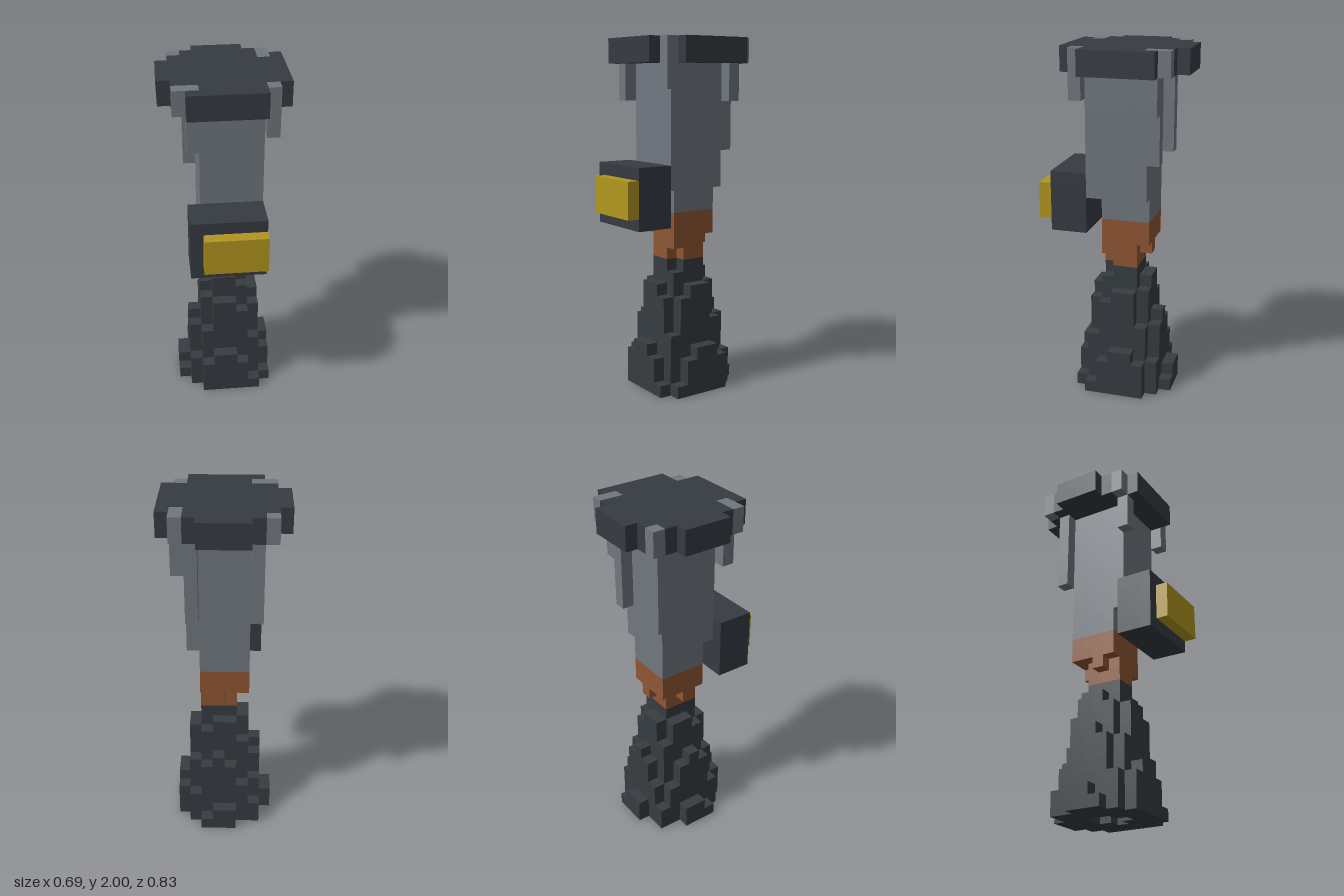
import * as THREE from 'three';
import { mergeGeometries } from 'three/addons/utils/BufferGeometryUtils.js';

const U = 2 / 29; // edge of one cube

function makeMaterial(name, color) {
  const m = new THREE.MeshStandardMaterial({ color });
  m.name = name;
  return m;
}

// Six cube faces as planes, each with the neighbour that would hide it
const FACES = [
  [[1, 0, 0], 0, Math.PI / 2], [[-1, 0, 0], 0, -Math.PI / 2],
  [[0, 1, 0], -Math.PI / 2, 0], [[0, -1, 0], Math.PI / 2, 0],
  [[0, 0, 1], 0, 0], [[0, 0, -1], 0, Math.PI],
].map(([dir, rx, ry]) => ({
  dir,
  geo: new THREE.PlaneGeometry(1, 1).rotateX(rx).rotateY(ry)
    .translate(dir[0] / 2, dir[1] / 2, dir[2] / 2),
}));

export function createModel() {
  const mats = {
    base: makeMaterial('dark slate', 0x363c41),
    head: makeMaterial('charcoal', 0x363a42),
    gray: makeMaterial('steel gray', 0x70777f),
    brown: makeMaterial('copper brown', 0x8f5633),
    yellow: makeMaterial('amber yellow', 0xb2961f),
  };
  const filled = new Set();
  const parts = new Map();

  const put = (name, mat, x, y, z) => {
    const key = [x, y, z].join();
    if (filled.has(key)) return;
    filled.add(key);
    if (!parts.has(name)) parts.set(name, { mat, cells: [] });
    parts.get(name).cells.push([x, y, z]);
  };
  const block = (name, mat, x0, x1, y0, y1, z0, z1) => {
    for (let x = x0; x < x1; x++)
      for (let y = y0; y < y1; y++)
        for (let z = z0; z < z1; z++) put(name, mat, x, y, z);
  };
  // Round layer about the slightly offset axis of the stand
  const disc = (name, mat, y, r, hole = 0) => {
    for (let x = -5; x < 5; x++)
      for (let z = -6; z < 4; z++) {
        const d = Math.hypot(x + 0.25, z + 1.25);
        if (d <= r && d >= hole) put(name, mat, x, y, z);
      }
  };

  // Tapering foot with a shallow hollow underneath
  const radii = [4.13, 3.91, 3.7, 3.47, 3.25, 3.03, 2.81, 2.59, 2.38, 2.1, 1.7];
  radii.forEach((r, y) => disc('foot', mats.base, y, r, y === 0 ? 1.3 : 0));

  // Brown neck
  disc('neck', mats.brown, 11, 1.7);
  disc('neck', mats.brown, 12, 1.9);
  block('neck', mats.brown, -2, 2, 13, 15, -3, 1);

  // Gray shaft
  block('shaft', mats.gray, -2, 2, 15, 17, -3, 1);
  block('shaft', mats.gray, -2, 3, 17, 27, -3, 2);

  // Corner struts, reaching up through the top plate
  block('backLeftStrut', mats.gray, 2, 3, 20, 27, -4, -3);
  block('backLeftStrut', mats.gray, 3, 4, 24, 29, -4, -3);
  block('backLeftStrut', mats.gray, 3, 4, 27, 29, -5, -4);
  block('backRightStrut', mats.gray, -3, -2, 20, 27, -4, -3);
  block('backRightStrut', mats.gray, -4, -3, 27, 29, -5, -4);
  block('frontRightStrut', mats.gray, -3, -2, 24, 27, 2, 3);
  block('frontRightStrut', mats.gray, -4, -2, 27, 29, 2, 3);
  block('frontLeftStrut', mats.gray, 3, 4, 25, 29, 2, 3);

  // Stepped round top plate, row by row: z, first x, last x
  const rows = [[-6, -2, 2], [-5, -3, 3], [-4, -4, 5], [-3, -5, 5], [-2, -5, 5],
    [-1, -5, 5], [0, -5, 5], [1, -4, 5], [2, -3, 3], [3, -3, 3]];
  for (const [z, x0, x1] of rows) block('topPlate', mats.head, x0, x1, 27, 29, z, z + 1);

  // Box on the front with a yellow panel
  block('frontBox', mats.head, -3, 3, 14, 19, 2, 5);
  block('frontPanel', mats.yellow, -2, 3, 15, 18, 5, 6);

  // Skin every part with its exposed faces only
  const group = new THREE.Group();
  for (const [name, { mat, cells }] of parts) {
    const geos = [];
    for (const [x, y, z] of cells)
      for (const { dir, geo } of FACES)
        if (!filled.has([x + dir[0], y + dir[1], z + dir[2]].join()))
          geos.push(geo.clone().translate(x + 0.5, y + 0.5, z + 0.5));
    const mesh = new THREE.Mesh(mergeGeometries(geos).scale(U, U, U), mat);
    mesh.name = name;
    group.add(mesh);
  }
  return group;
}
